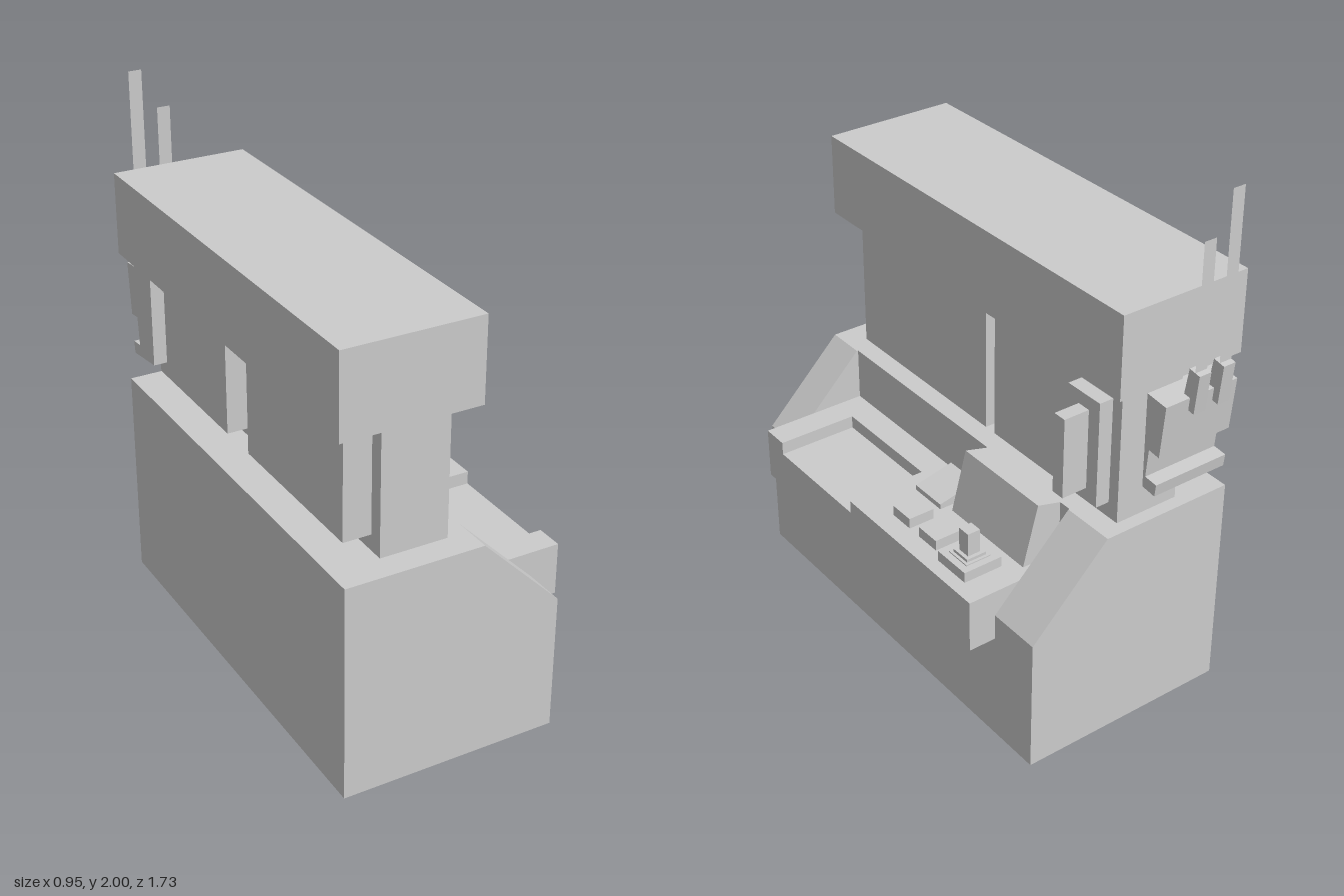
import * as THREE from 'three';

const material = new THREE.MeshStandardMaterial({ color: 0xcccccc, flatShading: true });
const sheetMaterial = new THREE.MeshStandardMaterial({ color: 0xcccccc, side: THREE.DoubleSide });

export function createModel() {
  const model = new THREE.Group();

  function add(name, geometry, mat = material) {
    const mesh = new THREE.Mesh(geometry, mat);
    mesh.name = name;
    model.add(mesh);
  }

  // Box given by its limits on each axis
  function box(name, [x0, x1], [y0, y1], [z0, z1]) {
    const g = new THREE.BoxGeometry(x1 - x0, y1 - y0, z1 - z0);
    add(name, g.translate((x0 + x1) / 2, (y0 + y1) / 2, (z0 + z1) / 2));
  }

  function extrude(points, depth) {
    const shape = new THREE.Shape(points.map(([a, b]) => new THREE.Vector2(a, b)));
    return new THREE.ExtrudeGeometry(shape, { depth, bevelEnabled: false });
  }

  // (x, y) profile swept along z
  function alongZ(name, points, [z0, z1]) {
    add(name, extrude(points, z1 - z0).translate(0, 0, z0));
  }

  // (z, y) profile swept along x
  function alongX(name, points, [x0, x1]) {
    add(name, extrude(points, x1 - x0).rotateY(-Math.PI / 2).translate(x1, 0, 0));
  }

  // Base: notched middle between two sloping cheeks
  alongZ('baseMiddle', [[-0.455, 0], [0.37, 0], [0.37, 0.5], [0.06, 0.5], [0.06, 0.825], [-0.455, 0.825]], [-0.58, 0.71]);
  const cheek = [[-0.455, 0], [0.37, 0], [0.37, 0.52], [0.065, 0.825], [-0.455, 0.825]];
  alongZ('baseCheek', cheek, [-0.785, -0.58]);
  alongZ('baseCheek', cheek, [0.71, 0.865]);

  // Control desk with a tray open at its outer edge
  box('deskBack', [0.06, 0.165], [0.42, 0.62], [-0.58, 0.71]);
  alongX('deskTray', [[-0.58, 0.42], [0.71, 0.42], [0.71, 0.62], [0.605, 0.62],
    [0.605, 0.57], [0.14, 0.57], [0.14, 0.62], [-0.58, 0.62]], [0.165, 0.475]);

  // Desk fittings
  alongZ('screen', [[0.06, 0.62], [0.215, 0.62], [0.155, 0.85], [0.06, 0.825]], [-0.53, -0.12]);
  alongZ('keypad', [[0.09, 0.62], [0.245, 0.62], [0.245, 0.64], [0.09, 0.675]], [-0.09, 0.06]);
  for (const z of [-0.07, -0.228]) box('button', [0.295, 0.397], [0.62, 0.66], [z - 0.05, z + 0.05]);
  for (const [name, r, y0, y1] of [['joystickBase', 0.077, 0.62, 0.66],
    ['joystickCollar', 0.05, 0.65, 0.664], ['joystickRing', 0.039, 0.65, 0.675], ['joystickLever', 0.025, 0.65, 0.765]]) {
    box(name, [0.346 - r, 0.346 + r], [y0, y1], [-0.404 - r, -0.404 + r]);
  }

  // Two columns with rear panels, carrying the top cabinet
  for (const [z0, z1] of [[-0.735, -0.06], [-0.01, 0.765]]) {
    box('column', [-0.27, -0.015], [0.825, 1.345], [z0, z1]);
    box('rearPanel', [-0.375, -0.27], [0.885, 1.345], [z0 + 0.057, z1 - 0.055]);
  }
  box('topCabinet', [-0.475, 0.04], [1.345, 1.655], [-0.785, 0.865]);

  // Wall unit above the desk
  box('wallPlate', [-0.015, 0.04], [0.885, 1.29], [-0.69, -0.53]);
  box('wallHandle', [0.04, 0.14], [0.935, 1.24], [-0.637, -0.585]);

  // Radio unit on the end, with a hollow below its head
  alongX('radioUnit', [[-0.62, 1.305], [-0.826, 1.283], [-0.806, 1.08], [-0.757, 1.086],
    [-0.746, 0.975], [-0.801, 0.97], [-0.795, 0.923], [-0.62, 0.945]], [-0.427, -0.12]);

  // Antennas: thin strips in small leaning holders
  for (const [x, top] of [[-0.35, 2], [-0.246, 1.85]]) {
    alongX('antennaHolder', [[-0.815, 1.388], [-0.863, 1.38], [-0.847, 1.23], [-0.818, 1.235], [-0.797, 1.285]], [x - 0.025, x + 0.025]);
    const strip = new THREE.PlaneGeometry(0.05, top - 1.3).translate(x, (top + 1.3) / 2, -0.842);
    add('antenna', strip, sheetMaterial);
  }
  return model;
}
